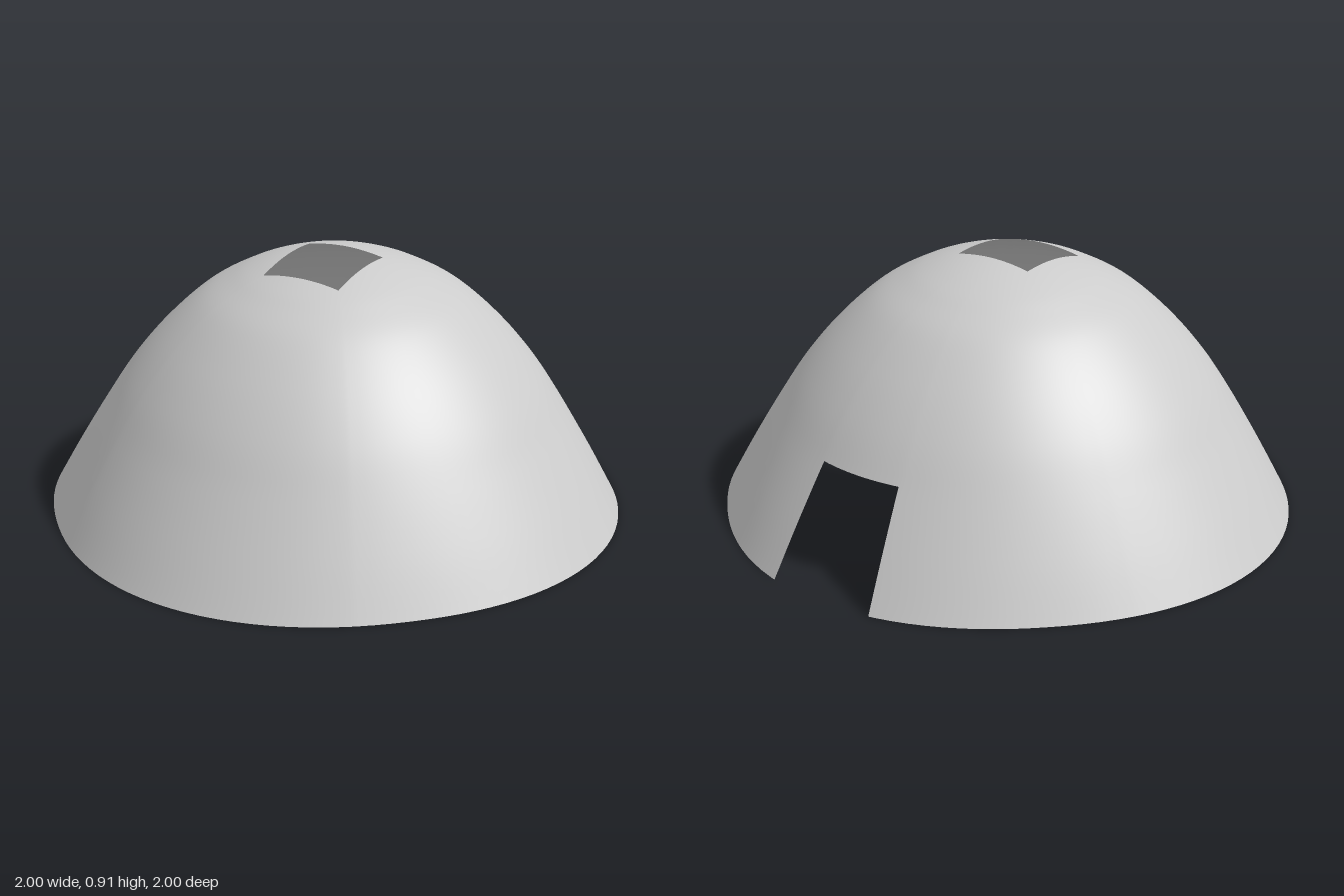
import * as THREE from 'three';

// Dome profile: distance from the axis against height
const profile = new THREE.SplineCurve([
  [1, 0], [0.91, 0.172], [0.8, 0.365], [0.71, 0.503], [0.6, 0.635], [0.47, 0.755],
  [0.35, 0.827], [0.26, 0.866], [0.17, 0.893], [0.08, 0.909], [0, 0.914],
].map(([s, y]) => new THREE.Vector2(s, y))).getPoints(400);

function heightAt(s) {
  const i = Math.max(1, profile.findIndex((p) => p.x <= s));
  const a = profile[i - 1], b = profile[i];
  return a.y + (b.y - a.y) * (a.x - s) / (a.x - b.x);
}

// The plan is slightly squared at the base and becomes round higher up
function planScale(angle, y) {
  const n = 2.03 + 0.14 * Math.max(0, 1 - y / 0.36) - 0.03 * Math.min(1, Math.max(0, (y - 0.36) / 0.3));
  return (Math.abs(Math.cos(angle)) ** n + Math.abs(Math.sin(angle)) ** n) ** (-1 / n);
}

// Diamond smoke hole, a little off centre
const hole = { x: -0.05, z: 0.05, size: 0.21 };
const holeCorners = [[1, 0], [0, 1], [-1, 0], [0, -1]].map(([x, z]) =>
  Math.atan2(hole.z + z * hole.size, hole.x + x * hole.size));

function holeRadius(angle) {
  const c = Math.cos(angle), s = Math.sin(angle);
  let r = Infinity;
  for (const u of [-1, 1]) for (const v of [-1, 1]) {
    const slope = u * c + v * s;
    if (slope > 1e-6) r = Math.min(r, (hole.size + u * hole.x + v * hole.z) / slope);
  }
  return r;
}

// Doorway: a sector of the lower band
const door = { from: THREE.MathUtils.degToRad(303.5), to: THREE.MathUtils.degToRad(326.5), s: 0.8 };

function domeGeometry() {
  const turn = Math.PI * 2;
  const angles = [door.from, door.to, ...holeCorners.map((a) => (a + turn) % turn)];
  for (let i = 0; i < 112; i++) angles.push(i / 112 * turn);
  angles.sort((a, b) => a - b);

  const lower = 10, upper = 36, n = angles.length;
  const positions = [], indices = [];
  for (let j = 0; j <= lower + upper; j++) {
    for (const a of angles) {
      const s = j <= lower
        ? 1 + (door.s - 1) * j / lower
        : THREE.MathUtils.lerp(door.s, holeRadius(a), (j - lower) / upper);
      const y = heightAt(s);
      const r = s * planScale(a, y);
      positions.push(r * Math.cos(a), y, r * Math.sin(a));
    }
  }
  for (let j = 0; j < lower + upper; j++) {
    for (let i = 0; i < n; i++) {
      // Leave the doorway open
      if (j < lower && angles[i] >= door.from && angles[i] < door.to) continue;
      const k = (i + 1) % n;
      const a = j * n + i, b = j * n + k, c = b + n, d = a + n;
      indices.push(a, d, b, b, d, c);
    }
  }
  const geometry = new THREE.BufferGeometry();
  geometry.setAttribute('position', new THREE.Float32BufferAttribute(positions, 3));
  geometry.setIndex(indices);
  geometry.computeVertexNormals();
  return geometry;
}

export function createModel() {
  const group = new THREE.Group();
  group.name = 'domeShelter';
  const material = new THREE.MeshStandardMaterial({ color: 0xcccccc, side: THREE.DoubleSide });
  const shell = new THREE.Mesh(domeGeometry(), material);
  shell.name = 'domeShell';
  group.add(shell);
  return group;
}
